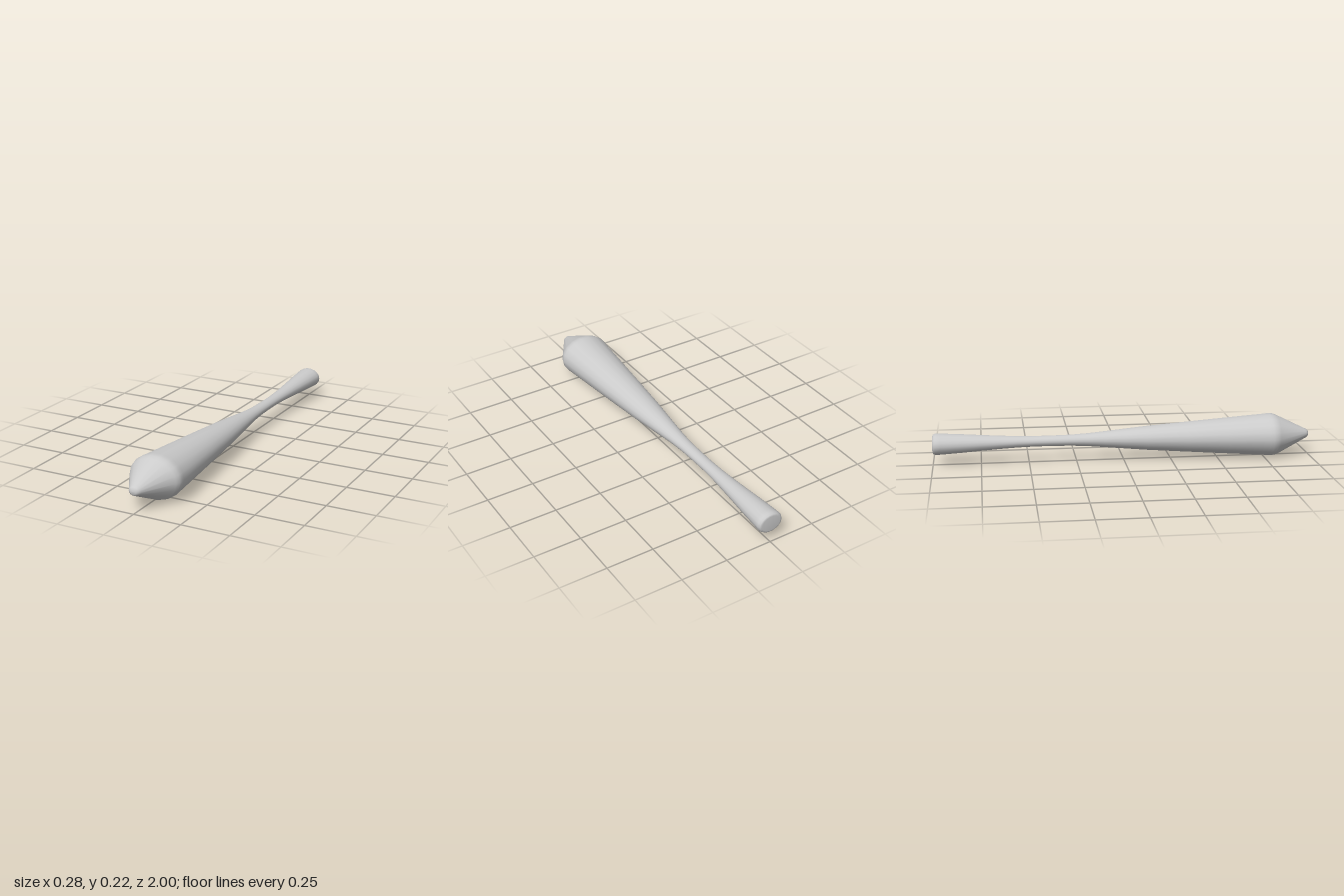
import * as THREE from 'three';

// Long oval-section shaft with a blunt pointed head (+z) and a flared butt (-z)
export function createModel() {
  const group = new THREE.Group();
  const material = new THREE.MeshStandardMaterial({ color: 0xcccccc });

  // [half width, position along z], from butt to tip
  const profile = [
    [0, -1], [0.052, -1], [0.063, -0.996], [0.069, -0.985], [0.068, -0.96],
    [0.06, -0.85], [0.051, -0.75], [0.043, -0.65], [0.037, -0.56], [0.034, -0.47], [0.034, -0.38],
    [0.036, -0.28], [0.042, -0.19], [0.052, -0.1], [0.064, 0], [0.078, 0.12],
    [0.098, 0.33], [0.118, 0.55], [0.137, 0.765], [0.14, 0.785], [0.137, 0.805], [0.128, 0.825],
    [0.034, 0.98], [0.027, 0.992], [0.016, 0.999], [0, 1],
  ].map(([r, z]) => new THREE.Vector2(r, z));

  // Turned body, flattened to an oval and laid along z
  const body = new THREE.LatheGeometry(profile, 18, Math.PI / 2);
  body.scale(1, 1, 0.805);
  body.rotateX(Math.PI / 2);
  body.translate(0, 0.112, 0);

  const mesh = new THREE.Mesh(body, material);
  mesh.name = 'shaft';
  group.add(mesh);
  return group;
}
